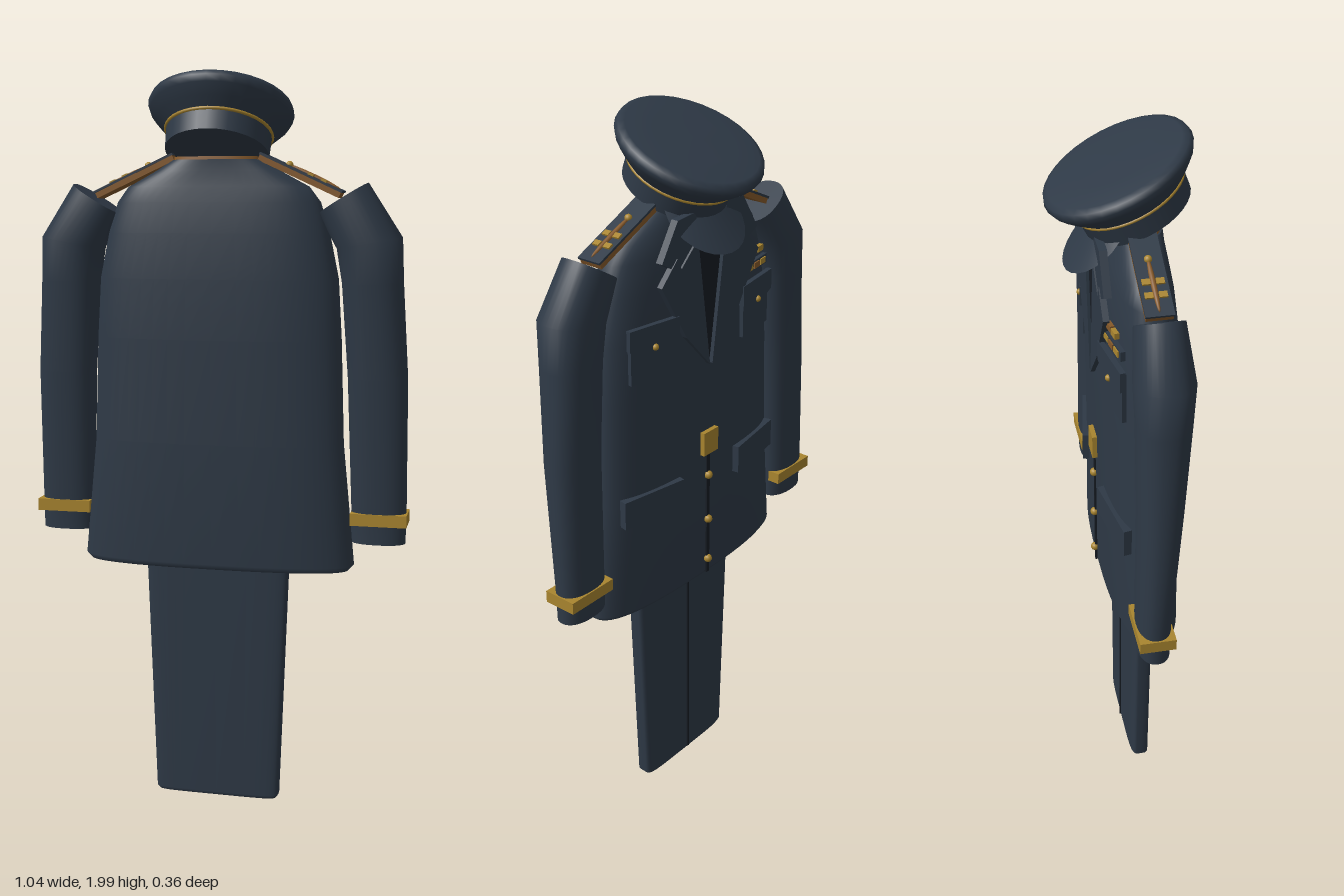
import * as THREE from 'three';

const mat = (name, color, side = THREE.FrontSide) => {
  const m = new THREE.MeshStandardMaterial({ color, side });
  m.name = name;
  return m;
};

// Smooth solid through superellipse rings [cx, cy, cz, halfWidth, halfDepth, tilt], listed upward
function loft(rings, power = 2, n = 32) {
  const pos = [], idx = [];
  const sp = (v) => Math.sign(v) * Math.abs(v) ** (2 / power);
  const addRing = ([cx, cy, cz, hw, hd, tilt = 0]) => {
    const start = pos.length / 3;
    for (let j = 0; j < n; j++) {
      const a = (j / n) * Math.PI * 2, u = hw * sp(Math.cos(a));
      pos.push(cx + u * Math.cos(tilt), cy + u * Math.sin(tilt), cz + hd * sp(Math.sin(a)));
    }
    return start;
  };
  const starts = rings.map(addRing);
  for (let i = 0; i < rings.length - 1; i++) for (let j = 0; j < n; j++) {
    const k = (j + 1) % n, a = starts[i], b = starts[i + 1];
    idx.push(a + j, b + j, a + k, a + k, b + j, b + k);
  }
  // flat end caps with their own corners
  [rings[0], rings[rings.length - 1]].forEach((r, end) => {
    const s = addRing(r), c = pos.length / 3;
    pos.push(r[0], r[1], r[2]);
    for (let j = 0; j < n; j++) {
      const k = (j + 1) % n;
      if (end) idx.push(c, s + k, s + j); else idx.push(c, s + j, s + k);
    }
  });
  const g = new THREE.BufferGeometry();
  g.setAttribute('position', new THREE.Float32BufferAttribute(pos, 3));
  g.setIndex(idx);
  g.computeVertexNormals();
  return g;
}

const plate = (points, depth) => new THREE.ExtrudeGeometry(
  new THREE.Shape(points.map(([x, y]) => new THREE.Vector2(x, y))), { depth, bevelEnabled: false });

// Approximate chest surface, which faces -z
const chestZ = (x) => 0.045 - 0.095 * (1 - (Math.abs(x) / 0.345) ** 2.6) ** (1 / 2.6);

export function createModel() {
  const root = new THREE.Group();
  const navy = mat('navy cloth', 0x2e3946);
  const navyThin = mat('navy thin cloth', 0x2e3946, THREE.DoubleSide);
  const dark = mat('dark seam', 0x171c23);
  const gold = mat('gold trim', 0xa9852f);
  const bronze = mat('bronze trim', 0x85592a);
  const add = (name, geo, m, x = 0, y = 0, z = 0, parent = root) => {
    const mesh = new THREE.Mesh(geo, m);
    mesh.name = name;
    mesh.position.set(x, y, z);
    parent.add(mesh);
    return mesh;
  };
  const box = (w, h, d) => new THREE.BoxGeometry(w, h, d);
  const onChest = (name, geo, m, x, y, out = 0) => {
    const mesh = add(name, geo, m, x, y, chestZ(x) - out);
    mesh.rotation.y = -Math.sign(x) * 0.17;
    return mesh;
  };

  // Jacket body, rising to the neck
  add('jacketBody', loft([
    [0, 0.675, 0.045, 0.365, 0.085], [0, 0.69, 0.045, 0.378, 0.095],
    [0, 1.02, 0.045, 0.345, 0.097], [0, 1.3, 0.045, 0.335, 0.097],
    [0, 1.46, 0.045, 0.325, 0.095], [0, 1.58, 0.045, 0.3, 0.088],
    [0, 1.66, 0.045, 0.275, 0.079], [0, 1.70, 0.047, 0.245, 0.07],
    [0, 1.74, 0.05, 0.17, 0.062], [0, 1.77, 0.053, 0.12, 0.058],
  ], 2.6, 48), navy);
  add('neckEdge', loft([[0, 1.768, 0.053, 0.118, 0.056], [0, 1.778, 0.053, 0.115, 0.055]], 2.4), bronze);

  // Trousers with centre seam
  add('trousers', loft([
    [0, 0, 0.05, 0.168, 0.024], [0, 0.01, 0.05, 0.176, 0.029], [0, 0.75, 0.05, 0.202, 0.031],
  ], 5, 48), navy);
  add('trouserSeam', box(0.007, 0.7, 0.006), dark, 0, 0.36, 0.0195);

  for (const s of [1, -1]) {
    // Sleeve with slanted shoulder cap and cuff band
    add('sleeve', loft([
      [0.44, 0.75, 0.018, 0.074, 0.043], [0.44, 0.85, 0.018, 0.075, 0.045],
      [0.432, 1.2, 0.032, 0.08, 0.056], [0.415, 1.45, 0.04, 0.081, 0.067],
      [0.405, 1.555, 0.042, 0.087, 0.073, 0.17], [0.335, 1.67, 0.043, 0.076, 0.06, 0.55],
    ].map(([x, y, z, w, d, t = 0]) => [s * x, y, z, w, d, s * t]), 2.3), navy);
    add('cuffBand', box(0.152, 0.033, 0.095), gold, s * 0.443, 0.818, 0.017);

    // Shoulder board sloping outwards
    const board = new THREE.Group();
    board.name = 'shoulderBoard';
    board.position.set(s * 0.222, 1.727, 0.045);
    board.rotation.z = -s * 0.43;
    root.add(board);
    add('boardEdge', box(0.235, 0.016, 0.066), bronze, 0, 0, 0, board);
    add('boardTop', box(0.24, 0.006, 0.07), navy, 0, 0.01, 0, board);
    add('boardCord', new THREE.SphereGeometry(1, 16, 8), bronze, s * 0.03, 0.013, 0, board).scale.set(0.08, 0.007, 0.007);
    add('boardButton', new THREE.SphereGeometry(0.01, 12, 8), gold, -s * 0.04, 0.014, 0, board);
    for (const x of [0.025, 0.063]) for (const z of [-0.017, 0.017])
      add('boardBar', box(0.016, 0.006, 0.02), gold, s * x, 0.015, z, board);

    // Collar leaf and lapel
    add('collarLeaf', plate([[s * 0.06, 1.76], [s * 0.13, 1.755], [s * 0.19, 1.66], [s * 0.13, 1.625], [s * 0.06, 1.69]], 0.02), navyThin, 0, 0, -0.06);
    add('lapel', plate([[s * 0.055, 1.69], [s * 0.12, 1.63], [s * 0.135, 1.66], [s * 0.195, 1.6], [s * 0.1, 1.44], [s * 0.005, 1.335]], 0.016), navyThin, 0, 0, -0.063);

    // Breast pocket, pointed flap, button and hip pocket
    onChest('breastPocket', box(0.14, 0.14, 0.012), navy, s * 0.21, 1.43);
    onChest('breastFlap', plate([[-0.08, 0.035], [0.08, 0.035], [0.08, -0.02], [0, -0.045], [-0.08, -0.02]], 0.014), navy, s * 0.21, 1.475, 0.014);
    onChest('pocketButton', new THREE.SphereGeometry(0.009, 12, 8), gold, s * 0.21, 1.45, 0.014);
    onChest('hipPocket', box(0.2, 0.08, 0.022), navy, s * 0.215, 1.0, 0.002);
  }

  // Front opening, belt plate and buttons
  add('shirtInset', plate([[-0.055, 1.72], [0.055, 1.72], [0, 1.34]], 0.008), dark, 0, 0, -0.056);
  add('placket', box(0.012, 0.4, 0.01), dark, 0, 0.885, -0.051);
  add('beltPlate', box(0.06, 0.068, 0.014), gold, 0, 1.105, -0.058);
  for (const y of [0.73, 0.86, 1.0])
    add('frontButton', new THREE.SphereGeometry(0.012, 12, 8), gold, 0, y, -0.056);

  // Ribbon bars and badge on one side of the chest
  for (const [y, n] of [[1.545, 3], [1.585, 2]]) for (let i = 0; i < n; i++)
    onChest('ribbonBar', box(0.028, 0.016, 0.012), i % 2 ? bronze : gold, -0.21 + (i - (n - 1) / 2) * 0.034, y, 0.004);
  onChest('ribbonBacking', box(0.12, 0.026, 0.012), navy, -0.21, 1.545, 0);

  // Peaked cap, tipped towards -z
  const cap = new THREE.Group();
  cap.name = 'cap';
  cap.position.set(0, 1.787, 0.06);
  cap.rotation.x = -0.43;
  root.add(cap);
  const lathe = (pts) => new THREE.LatheGeometry(pts.map(([r, y]) => new THREE.Vector2(r, y)), 32);
  add('capBand', lathe([[0, 0], [0.138, 0], [0.138, 0], [0.141, 0.058]]), navy, 0, 0, 0, cap);
  add('capCrown', lathe([[0.141, 0.056], [0.165, 0.08], [0.188, 0.106], [0.195, 0.122], [0.19, 0.136], [0.175, 0.143], [0.1, 0.146], [0, 0.147]]), navy, 0, 0, 0, cap);
  add('capCord', new THREE.TorusGeometry(0.142, 0.0045, 8, 40).rotateX(Math.PI / 2), gold, 0, 0.056, 0, cap);

  // Crescent visor under the band
  const pos = [], idx = [], n = 16;
  for (let i = 0; i <= n; i++) {
    const t = (i / n) * 2 - 1, a = t * 1.05, e = 1 - t * t;
    for (const [r, y] of [[0.137, 0.012], [0.137 + 0.088 * e, 0.012 - 0.055 * e]])
      pos.push(Math.sin(a) * r, y, -Math.cos(a) * r);
    if (i < n) idx.push(2 * i, 2 * i + 1, 2 * i + 2, 2 * i + 1, 2 * i + 3, 2 * i + 2);
  }
  const visor = new THREE.BufferGeometry();
  visor.setAttribute('position', new THREE.Float32BufferAttribute(pos, 3));
  visor.setIndex(idx);
  visor.computeVertexNormals();
  add('capVisor', visor, navyThin, 0, 0, 0, cap);

  return root;
}
